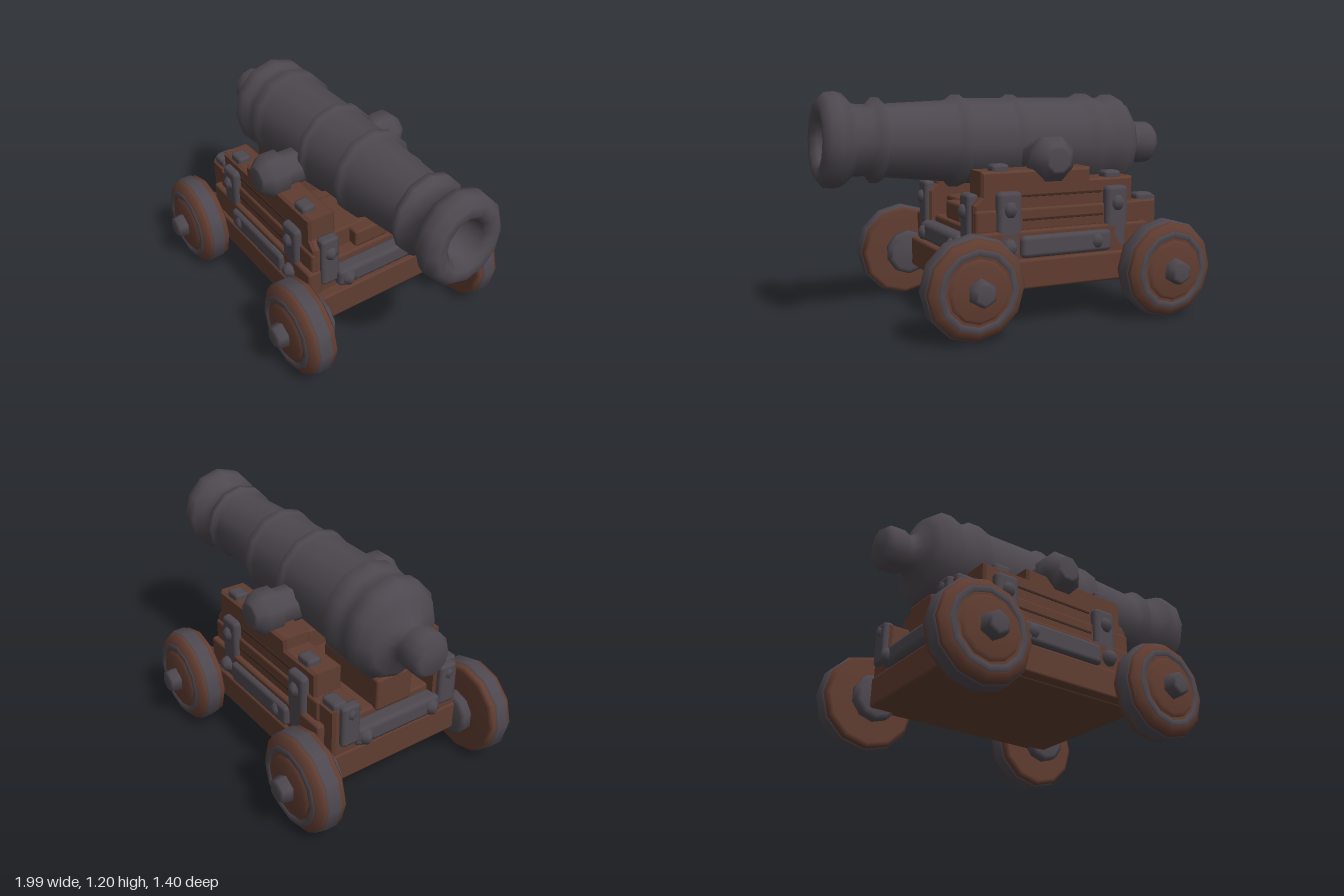
import * as THREE from 'three';
import { RoundedBoxGeometry } from 'three/addons/geometries/RoundedBoxGeometry.js';

export function createModel() {
  const model = new THREE.Group();
  model.name = 'cannon';
  const mat = (name, color) => Object.assign(new THREE.MeshStandardMaterial({ color }), { name });
  const iron = mat('iron', 0x4d484f);
  const wood = mat('wood', 0x5f3c30);
  const darkWood = mat('darkWood', 0x3f2822);

  const add = (name, geo, material, x = 0, y = 0, z = 0, parent = model) => {
    const m = new THREE.Mesh(geo, material);
    m.name = name;
    m.position.set(x, y, z);
    parent.add(m);
    return m;
  };
  // bevelled box given by its extents
  const box = (name, material, x0, x1, y0, y1, z0, z1, r = 0.015) =>
    add(name, new RoundedBoxGeometry(x1 - x0, y1 - y0, Math.abs(z1 - z0), 1, r), material,
      (x0 + x1) / 2, (y0 + y1) / 2, (z0 + z1) / 2);
  // turned part; points are [radius, distance along the axis]
  const lathe = (pts, sides) => new THREE.LatheGeometry(pts.map(p => new THREE.Vector2(...p)), sides);

  // Barrel with cascabel, rings, muzzle and bore
  const barrel = lathe([
    [0, -1], [0.09, -0.995], [0.118, -0.96], [0.118, -0.88], [0.1, -0.845], [0.13, -0.805],
    [0.2, -0.785], [0.24, -0.75], [0.245, -0.725], [0.27, -0.71], [0.27, -0.65], [0.248, -0.62],
    [0.248, -0.565], [0.27, -0.545], [0.27, -0.475], [0.246, -0.45], [0.238, -0.1], [0.254, -0.088],
    [0.254, -0.045], [0.232, -0.03], [0.226, 0.21], [0.244, 0.225], [0.244, 0.275], [0.215, 0.295],
    [0.188, 0.65], [0.219, 0.67], [0.219, 0.71], [0.182, 0.73], [0.184, 0.81], [0.235, 0.86],
    [0.244, 0.9], [0.238, 0.95], [0.2, 0.985], [0.15, 0.985], [0.115, 0.955], [0.095, 0.86], [0, 0.82],
  ], 12);
  barrel.rotateZ(-Math.PI / 2);
  barrel.scale(1, 1, 0.93);
  add('barrel', barrel, iron, 0, 0.92, 0).rotation.z = 0.036;

  // Base, beds between the cheeks, and wedge under the breech
  box('base', wood, -0.78, 0.36, 0.19, 0.355, -0.4, 0.4);
  box('bed', wood, -0.72, 0.27, 0.34, 0.5, -0.25, 0.25);
  box('frontStep', wood, -0.1, 0.2, 0.48, 0.61, -0.25, 0.25);
  box('wedge', wood, -0.74, -0.3, 0.48, 0.66, -0.11, 0.11);
  box('frontBlock', wood, 0.1, 0.26, 0.5, 0.6, -0.105, 0.105);

  // Iron bars across both ends
  for (const [x, end] of [[0.305, 'front'], [-0.75, 'rear']]) {
    box(end + 'Bar', iron, x - 0.05, x + 0.05, 0.36, 0.47, -0.27, 0.27, 0.03);
    for (const z of [-0.21, 0.21]) {
      add(end + 'BarBolt', new THREE.SphereGeometry(0.045, 6, 5), iron, x + Math.sign(x) * 0.035, 0.41, z);
    }
  }

  // Stepped cheek outline
  const outline = new THREE.Shape([
    [-0.76, 0.33], [0.29, 0.33], [0.29, 0.63], [0.25, 0.67], [0.25, 0.79], [-0.35, 0.79],
    [-0.35, 0.73], [-0.61, 0.73], [-0.61, 0.6], [-0.76, 0.6],
  ].map(p => new THREE.Vector2(...p)));
  const cheek = new THREE.ExtrudeGeometry(outline, {
    depth: 0.13, bevelEnabled: true, bevelSize: 0.012, bevelThickness: 0.015, bevelSegments: 1,
  });
  cheek.translate(0, 0, -0.065);

  // Wheel pieces, outward along the axle
  const wheelParts = [
    ['wheelCollar', iron, 10, [[0, 0.38], [0.1, 0.385], [0.125, 0.4], [0.125, 0.44], [0.09, 0.47]]],
    ['wheelRim', wood, 12, [[0, 0.463], [0.23, 0.463], [0.253, 0.478], [0.253, 0.585], [0.245, 0.6],
      [0.215, 0.62], [0.2, 0.62], [0, 0.62]]],
    ['wheelTyre', iron, 12, [[0.25, 0.5], [0.262, 0.506], [0.262, 0.572], [0.25, 0.58]]],
    ['wheelRing', iron, 12, [[0.208, 0.615], [0.204, 0.627], [0.176, 0.627], [0.172, 0.615]]],
    ['wheelDisc', wood, 12, [[0.165, 0.615], [0.14, 0.637], [0, 0.642]]],
    ['wheelHub', iron, 6, [[0.072, 0.63], [0.068, 0.66], [0.062, 0.69], [0.045, 0.7], [0, 0.7]]],
  ];

  for (const s of [-1, 1]) {
    const side = s > 0 ? 'left' : 'right';
    const turned = (name, material, pts, sides, x, y, parent) =>
      add(name, lathe(pts, sides).rotateX(s * Math.PI / 2), material, x, y, 0, parent);

    // Cheek, rail and plank seams
    add(side + 'Cheek', cheek, wood, 0, 0, s * 0.315);
    box(side + 'Plank', wood, -0.66, 0.3, 0.49, 0.61, s * 0.3, s * 0.408);
    box(side + 'Rail', wood, -0.72, 0.32, 0.2, 0.355, s * 0.35, s * 0.455);
    box(side + 'RailTop', wood, -0.7, 0.31, 0.34, 0.5, s * 0.35, s * 0.435);
    for (const y of [0.545, 0.665]) {
      box(side + 'Seam', darkWood, -0.43, 0.04, y, y + 0.012, s * 0.392, s * (y < 0.6 ? 0.411 : 0.399), 0.002);
    }

    // Trunnion and its domed cap
    turned(side + 'Trunnion', iron, [[0.1, 0.1], [0.1, 0.3], [0.122, 0.318], [0.122, 0.395],
      [0.075, 0.45], [0.06, 0.458], [0, 0.458]], 8, -0.14, 0.85).rotation.z = Math.PI / 8;

    // Side bar and upright straps with bolts
    box(side + 'SideBar', iron, -0.46, 0.07, 0.36, 0.475, s * 0.38, s * 0.462, 0.025);
    for (const x of [-0.505, 0.12]) {
      box(side + 'Strap', iron, x - 0.068, x + 0.068, 0.36, 0.7, s * 0.37, s * 0.435, 0.025);
      add(side + 'StrapBolt', new THREE.SphereGeometry(0.045, 6, 5), iron, x, 0.61, s * 0.42);
    }
    for (const x of [-0.37, 0.13]) {
      add(side + 'BarBolt', new THREE.SphereGeometry(0.045, 6, 5), iron, x, 0.42, s * 0.438);
    }

    // End straps on the cheek faces
    box(side + 'FrontStrap', iron, 0.26, 0.325, 0.4, 0.69, s * 0.25, s * 0.36, 0.02);
    box(side + 'RearStrap', iron, -0.8, -0.74, 0.4, 0.63, s * 0.25, s * 0.36, 0.02);
    add(side + 'FrontBolt', new THREE.SphereGeometry(0.04, 6, 5), iron, 0.315, 0.6, s * 0.305);
    add(side + 'RearBolt', new THREE.SphereGeometry(0.04, 6, 5), iron, -0.775, 0.58, s * 0.305);

    // Bolt heads on the steps of the cheek
    for (const [x, y, w] of [[-0.71, 0.61, 0.055], [-0.505, 0.74, 0.05], [0.15, 0.8, 0.048]]) {
      box(side + 'StepBolt', iron, x - w, x + w, y - 0.02, y + 0.035, s * (0.345 - 0.04), s * (0.345 + 0.04), 0.018);
    }

    // Wheels
    for (const [x, end] of [[-0.735, 'Rear'], [0.372, 'Front']]) {
      const wheel = new THREE.Group();
      wheel.name = side + end + 'Wheel';
      wheel.position.set(x, 0.262, 0);
      model.add(wheel);
      for (const [name, material, sides, pts] of wheelParts) turned(name, material, pts, sides, 0, 0, wheel);
    }
  }
  return model;
}
